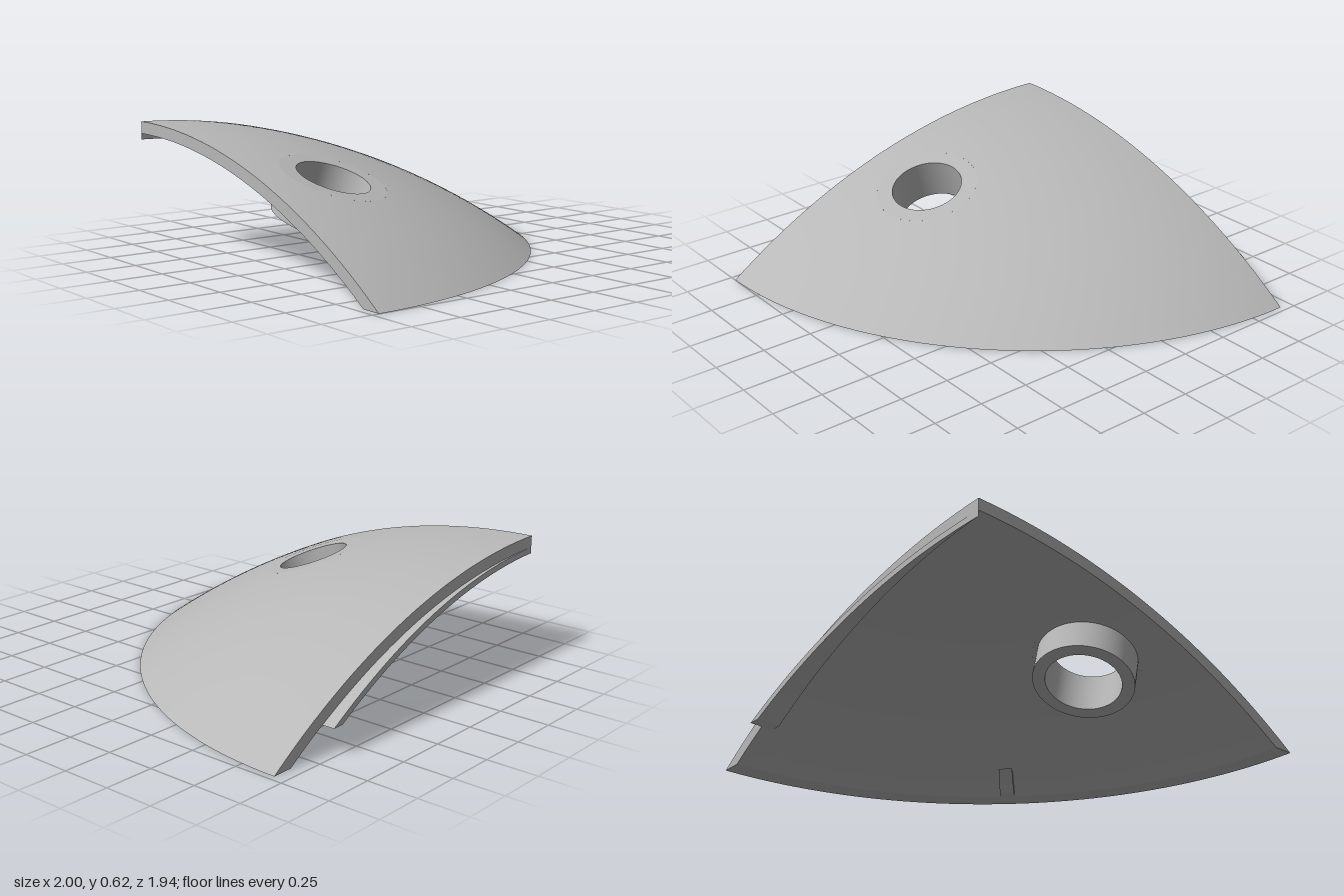
import * as THREE from 'three';
import { toCreasedNormals } from 'three/addons/utils/BufferGeometryUtils.js';

// Dome: both skins are spheres around one centre, far below the ground
const C = new THREE.Vector3(-0.937, -2.683, 0.965);
const R_OUT = 3.308, R_IN = 3.248;
const SEAT = 0.26, BOSS = 0.24, BORE = 0.18;

// Distance from the dome axis at which a sphere of radius R has height y
const rimAt = (R, y) => Math.sqrt(R * R - (y - C.y) ** 2);
// Point on a sphere above plan position (x, z)
const onSphere = (R, x, z) =>
  new THREE.Vector3(x, C.y + Math.sqrt(R * R - (x - C.x) ** 2 - (z - C.z) ** 2), z);
const polar = (R, r, a) => onSphere(R, C.x + r * Math.cos(a), C.z - r * Math.sin(a));

// Skin consecutive closed loops that all have the same number of points
function skin(rows) {
  const n = rows[0].length, index = [];
  for (let i = 0; i < rows.length - 1; i++) {
    for (let j = 0; j < n; j++) {
      const k = (j + 1) % n;
      const a = i * n + j, b = i * n + k, c = (i + 1) * n + k, d = (i + 1) * n + j;
      index.push(a, d, c, a, c, b);
    }
  }
  const geo = new THREE.BufferGeometry().setFromPoints(rows.flat());
  geo.setIndex(index);
  return toCreasedNormals(geo, 0.5);
}

// Boss axis: sphere normal at the hole
const P = onSphere(R_OUT, 0.1, 0.535);
const N = P.clone().sub(C).normalize();
const U = new THREE.Vector3(1, 0, 0).addScaledVector(N, -N.x).normalize();
const V = new THREE.Vector3().crossVectors(U, N);

// Quarter-disc outline, counter-clockwise from above
function outline(r) {
  const pts = [], edge = 30, arc = 64;
  for (let i = 0; i < edge; i++) pts.push([(r * i) / edge, 0]);
  for (let i = 0; i < arc; i++) {
    const a = (Math.PI / 2) * (i / arc);
    pts.push([r * Math.cos(a), -r * Math.sin(a)]);
  }
  for (let i = 0; i < edge; i++) pts.push([0, -r * (1 - i / edge)]);
  return pts.map(([x, z]) => [C.x + x, C.z + z]);
}

// Loops on one sphere, running from the hole to the outline
function layer(R) {
  const rim = outline(rimAt(R, 0)), rows = [], steps = 18;
  const hole = rim.map(([x, z]) => {
    const a = Math.atan2(z - P.z, x - P.x);
    return C.clone().addScaledVector(N, Math.sqrt(R * R - SEAT * SEAT))
      .addScaledVector(U, SEAT * Math.cos(a)).addScaledVector(V, SEAT * Math.sin(a));
  });
  for (let s = 0; s <= steps; s++) {
    const t = s / steps;
    rows.push(rim.map(([x, z], i) => onSphere(R,
      THREE.MathUtils.lerp(hole[i].x, x, t), THREE.MathUtils.lerp(hole[i].z, z, t))));
  }
  return rows;
}

// Thin curved strip under the dome between two plan angles
function sector(a0, a1, thick, yStart, yEnd, steps) {
  const rows = [], Ri = R_IN - thick;
  const start = (R) => (yStart === null ? 0 : rimAt(R, yStart));
  for (let s = 0; s <= steps; s++) {
    const at = (R, a) => polar(R, THREE.MathUtils.lerp(start(R), rimAt(R, yEnd), s / steps), a);
    rows.push([at(R_IN, a0), at(R_IN, a1), at(Ri, a1), at(Ri, a0)]);
  }
  const cap = (row) => {
    const mid = new THREE.Vector3();
    row.forEach((p) => mid.addScaledVector(p, 0.25));
    return row.map(() => mid.clone());
  };
  return skin([cap(rows[0]), ...rows, cap(rows[steps])]);
}

export function createModel() {
  const group = new THREE.Group();
  const grey = new THREE.MeshStandardMaterial({ color: 0xb8b8b8 });
  grey.name = 'light grey';
  const add = (name, geo) => {
    const mesh = new THREE.Mesh(geo, grey);
    mesh.name = name;
    group.add(mesh);
    return mesh;
  };

  // Quarter dome shell with a round hole
  const top = layer(R_OUT), under = layer(R_IN).reverse();
  add('domeShell', skin([...top, ...under, top[0]]));

  // Hollow boss set square to the dome, flush with its top
  const lip = Math.sqrt(R_OUT ** 2 - SEAT ** 2) - R_OUT;
  const profile = [
    [BORE, -0.225], [BOSS, -0.225], [BOSS, -0.07], [SEAT, -0.07],
    [SEAT, lip], [BORE, lip], [BORE, -0.225],
  ].map(([x, y]) => new THREE.Vector2(x, y));
  const boss = add('boss', toCreasedNormals(new THREE.LatheGeometry(profile, 72), 0.5));
  boss.position.copy(P);
  boss.quaternion.setFromUnitVectors(new THREE.Vector3(0, 1, 0), N);

  // Joining tongue that widens away from the crown
  const half = 0.0387;
  add('joiningTongue', sector(Math.PI / 2 - half, Math.PI / 2 + half, 0.03, null, 0.13, 40));

  // Small locating rib inside the rim
  add('rimRib', sector(0.775, 0.815, 0.03, 0.08, 0, 6));

  return group;
}
